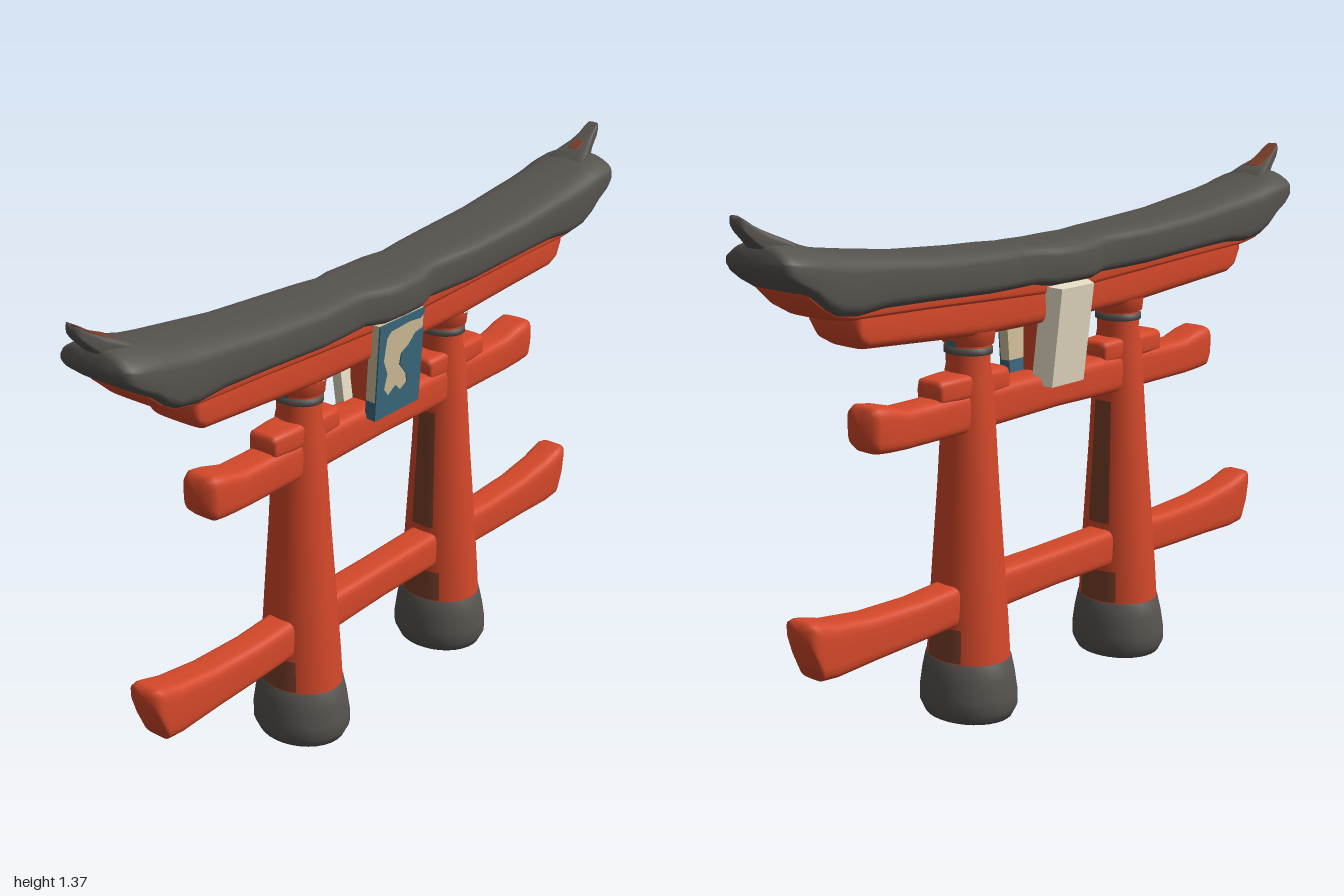
import * as THREE from 'three';

const mat = (name, color, side = THREE.FrontSide) => {
  const m = new THREE.MeshStandardMaterial({ color, side });
  m.name = name;
  return m;
};

// Mirrors half a beam, listed from the middle outwards, to both ends.
const mirrored = (half) => [...flipped(half.filter((s) => s[0] > 0)), ...half];
const flipped = (stations) => stations.map(([z, ...r]) => [-z, ...r]).reverse();

// Lofts rounded-box sections along z; a station is [z, bottom, top, half width, ridge rise].
function loft(stations, power = 0.45, n = 32) {
  const pos = [], index = [];
  const signedPow = (v) => Math.sign(v) * Math.abs(v) ** power;
  for (const [z, y0, y1, w, rise = 0] of stations) {
    for (let j = 0; j < n; j++) {
      const a = (j / n) * Math.PI * 2;
      const u = signedPow(Math.cos(a)), v = signedPow(Math.sin(a));
      const ridge = v > 0 ? rise * v * (1 - u * u) : 0;
      pos.push(w * u, (y0 + y1) / 2 + ((y1 - y0) / 2) * v + ridge, z);
    }
  }
  const last = stations.length - 1;
  for (let i = 0; i < last; i++) {
    for (let j = 0; j < n; j++) {
      const k = (j + 1) % n;
      const a = i * n + j, b = i * n + k, c = b + n, d = a + n;
      index.push(a, b, c, a, c, d);
    }
  }
  // Flat end caps
  for (const i of [0, last]) {
    const [z, y0, y1] = stations[i];
    const centre = pos.length / 3;
    pos.push(0, (y0 + y1) / 2, z);
    for (let j = 0; j < n; j++) {
      const a = i * n + j, b = i * n + ((j + 1) % n);
      if (i === 0) index.push(centre, b, a);
      else index.push(centre, a, b);
    }
  }
  const g = new THREE.BufferGeometry();
  g.setAttribute('position', new THREE.Float32BufferAttribute(pos, 3));
  g.setIndex(index);
  g.computeVertexNormals();
  return g;
}

export function createModel() {
  const red = mat('vermilion paint', 0xd4482a);
  const dark = mat('charcoal', 0x57534f);
  const cream = mat('cream paint', 0xcfbd98);
  const pale = mat('pale board', 0xe6dcc4);
  const blue = mat('slate blue', 0x3a687c);
  const brown = mat('weathered brown', 0x7a3f2a, THREE.DoubleSide);

  const model = new THREE.Group();
  const gate = new THREE.Group();
  gate.name = 'gate';
  gate.rotation.y = 0.04; // stands slightly turned
  model.add(gate);
  const add = (name, geometry, material, parent = gate) => {
    const m = new THREE.Mesh(geometry, material);
    m.name = name;
    parent.add(m);
    return m;
  };

  // Curved roof, bulging over the boards in the middle
  add('roof', loft(mirrored([
    [0, 1.1, 1.207, 0.111], [0.07, 1.1, 1.209, 0.108], [0.13, 1.107, 1.212, 0.09],
    [0.2, 1.108, 1.216, 0.097], [0.3, 1.11, 1.219, 0.106],
    [0.5, 1.12, 1.23, 0.109, 0.004], [0.65, 1.125, 1.248, 0.112, 0.006],
    [0.74, 1.118, 1.258, 0.114, 0.01], [0.8, 1.128, 1.266, 0.116, 0.013],
    [0.835, 1.148, 1.272, 0.117, 0.018], [0.87, 1.18, 1.274, 0.117, 0.026],
    [0.91, 1.205, 1.276, 0.116, 0.03], [0.935, 1.225, 1.276, 0.11, 0.03],
    [0.953, 1.245, 1.272, 0.095, 0.026],
  ])), dark);

  // Red underside of the roof, following its curve
  add('roofBoard', loft(mirrored([
    [0, 1.07, 1.14, 0.07], [0.5, 1.1, 1.15, 0.084], [0.74, 1.11, 1.16, 0.09],
    [0.8, 1.12, 1.18, 0.092], [0.84, 1.143, 1.2, 0.092], [0.874, 1.174, 1.22, 0.088],
    [0.89, 1.187, 1.225, 0.08],
  ])), red);

  // Top lintel
  add('topLintel', loft(mirrored([
    [0, 1.0, 1.12, 0.066], [0.3, 1.005, 1.13, 0.07], [0.5, 1.02, 1.14, 0.074],
    [0.69, 1.035, 1.14, 0.08], [0.715, 1.05, 1.145, 0.082], [0.735, 1.085, 1.145, 0.078],
  ])), red);

  // Upper crossbeam with raised ends
  add('upperCrossbeam', loft(mirrored([
    [0, 0.77, 0.87, 0.052], [0.25, 0.765, 0.87, 0.052], [0.45, 0.765, 0.865, 0.05],
    [0.54, 0.765, 0.865, 0.05], [0.6, 0.768, 0.882, 0.052], [0.638, 0.772, 0.888, 0.052],
    [0.658, 0.79, 0.88, 0.042],
  ])), red);

  // Lower crossbeam with flared, slanting ends
  add('lowerCrossbeam', loft(mirrored([
    [0, 0.28, 0.38, 0.046], [0.3, 0.275, 0.382, 0.048], [0.5, 0.266, 0.372, 0.046],
    [0.66, 0.262, 0.378, 0.047], [0.78, 0.257, 0.395, 0.049], [0.83, 0.262, 0.41, 0.05],
    [0.85, 0.31, 0.414, 0.048], [0.868, 0.36, 0.412, 0.04],
  ])), red);

  const lathe = (points) =>
    new THREE.LatheGeometry(points.map(([r, y]) => new THREE.Vector2(r, y)), 32);

  for (const s of [1, -1]) {
    const side = s > 0 ? 'front' : 'back';
    const facing = (stations) => (s > 0 ? stations : flipped(stations));
    const post = new THREE.Group();
    post.name = side + 'Post';
    post.position.z = s * 0.305;
    post.rotation.x = -s * 0.014; // leans slightly inwards
    post.scale.set(1.08, 1, 0.91); // oval in plan
    gate.add(post);
    add(side + 'Pillar', lathe([[0.108, 0.16], [0.102, 0.27], [0.092, 0.42], [0.078, 0.62],
      [0.069, 0.78], [0.064, 0.88], [0.055, 0.93], [0.058, 1.03]]), red, post);
    add(side + 'Footing', lathe([[0, 0.004], [0.075, 0.005], [0.113, 0.018], [0.126, 0.045],
      [0.126, 0.08], [0.119, 0.13], [0.11, 0.173], [0.098, 0.178]]), dark, post);
    // Collar and capital below the lintel
    add(side + 'Collar', lathe([[0.05, 0.957], [0.061, 0.96], [0.061, 0.975], [0.05, 0.98]]), dark, post);
    add(side + 'Capital', lathe([[0.05, 0.978], [0.064, 0.985], [0.068, 1.02]]), red, post);

    // Worn strips on the pillar: towards the middle (-1) or outwards (1)
    const strip = (name, rTop, rBottom, y0, y1, way, spread, material = brown) => {
      const g = new THREE.CylinderGeometry(rTop, rBottom, y1 - y0, 8, 1, true,
        (way * s > 0 ? 0 : Math.PI) - spread, spread * 2);
      add(name, g, material, post).position.y = (y0 + y1) / 2;
    };
    strip(side + 'InnerWear', 0.073, 0.096, 0.4, 0.74, -1, 0.35);
    strip(side + 'InnerFootWear', 0.105, 0.11, 0.178, 0.265, -1, 0.55);
    strip(side + 'OuterFootWear', 0.105, 0.11, 0.178, 0.265, 1, 0.5);
    strip(side + 'CapitalPatch', 0.068, 0.066, 0.98, 0.995, 1, 0.22, blue);

    // Wedge blocks on the upper crossbeam
    add(side + 'Wedge', loft(facing([
      [0.185, 0.85, 0.9, 0.04], [0.192, 0.85, 0.912, 0.046], [0.26, 0.85, 0.915, 0.05],
      [0.36, 0.85, 0.915, 0.05], [0.422, 0.85, 0.912, 0.044], [0.43, 0.85, 0.9, 0.038],
    ])), red);

    // Roof end horns, tapering upwards
    const horn = [
      [0.86, 1.25, 1.296, 0.06], [0.9, 1.262, 1.315, 0.05], [0.935, 1.275, 1.33, 0.036],
      [0.965, 1.305, 1.347, 0.025], [0.99, 1.33, 1.364, 0.021], [1.0, 1.343, 1.37, 0.017],
    ];
    add(side + 'Horn', loft(facing(horn)), dark);
    // Worn upper face, whole on the front horn and only near the root of the back one
    const worn = s > 0 ? horn.slice(1) : horn.slice(1, 3);
    add(side + 'HornWear', loft(facing(worn.map(([z, , y, w]) =>
      [z, y - 0.004, y + 0.002, Math.min(w * 0.9, s > 0 ? 0.024 : 0.016)]))), brown);
  }

  // Centre strut and the two leaning name boards, left blank
  add('centreStrut', new THREE.BoxGeometry(0.07, 0.2, 0.1), red).position.y = 0.94;

  const leftBoard = new THREE.Group();
  leftBoard.name = 'leftBoard';
  leftBoard.position.set(0.068, 0.975, 0);
  leftBoard.rotation.z = -0.07;
  gate.add(leftBoard);
  add('boardPanel', new THREE.BoxGeometry(0.03, 0.21, 0.18), cream, leftBoard).position.y = 0.025;
  add('boardFoot', new THREE.BoxGeometry(0.03, 0.05, 0.18), blue, leftBoard).position.y = -0.105;
  // Blue paint around a ragged cream centre
  const face = new THREE.Shape([[-0.09, -0.13], [0.09, -0.13], [0.09, 0.075], [0.06, 0.07],
    [0.035, 0.045], [0.005, 0.03], [0.0, 0.0], [0.03, -0.035], [0.035, -0.06],
    [0.01, -0.075], [-0.01, -0.055], [-0.04, -0.075], [-0.06, -0.05], [-0.05, -0.01],
    [-0.068, 0.03], [-0.06, 0.09], [-0.045, 0.105], [0.03, 0.11], [0.075, 0.105],
    [0.09, 0.115], [0.09, 0.13], [-0.09, 0.13]].map(([x, y]) => new THREE.Vector2(x, y)));
  const paint = add('boardPaint',
    new THREE.ExtrudeGeometry(face, { depth: 0.004, bevelEnabled: false }), blue, leftBoard);
  paint.rotation.y = Math.PI / 2;
  paint.position.x = 0.014;

  // The other board is plain, narrower towards its outer face
  const section = new THREE.Shape([[-0.062, -0.025], [0.062, -0.025], [0.085, 0.025], [-0.085, 0.025]]
    .map(([z, x]) => new THREE.Vector2(x, z)));
  const panel = new THREE.ExtrudeGeometry(section, { depth: 0.26, bevelEnabled: false });
  panel.rotateX(-Math.PI / 2);
  panel.translate(0, -0.13, 0);
  const rightBoard = add('rightBoard', panel, pale);
  rightBoard.position.set(-0.066, 0.97, 0);
  rightBoard.rotation.z = 0.13;
  return model;
}
